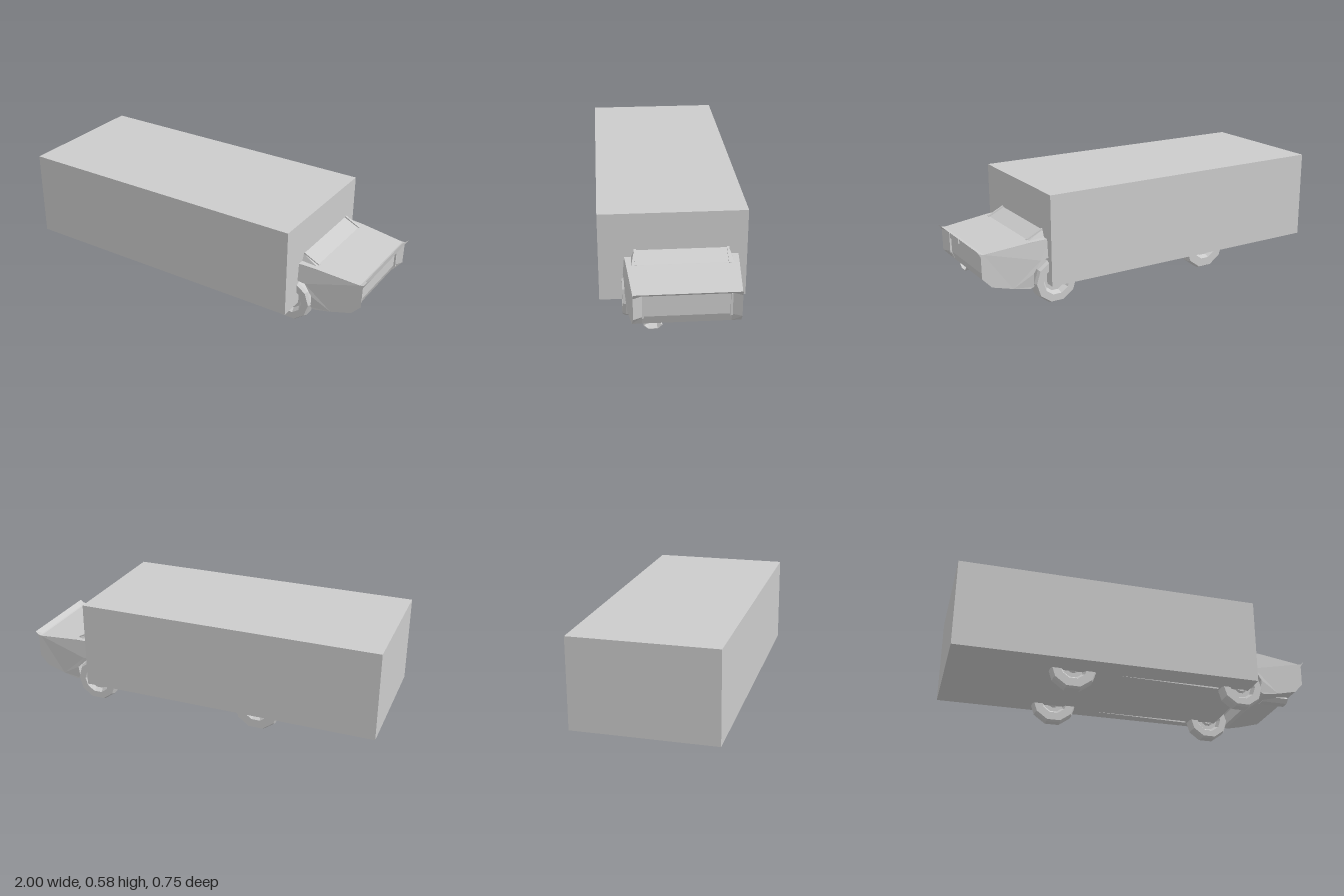
import * as THREE from 'three';

const MID = -0.0425; // centre line of the cab and wheels
const material = new THREE.MeshStandardMaterial({ color: 0xcccccc, flatShading: true, side: THREE.DoubleSide });

function add(group, name, geometry, x = 0, y = 0, z = 0) {
  const mesh = new THREE.Mesh(geometry, material);
  mesh.name = name;
  mesh.position.set(x, y, z);
  group.add(mesh);
  return mesh;
}

// Extrudes an outline in the xy plane between two z values
function slab(points, z0, z1) {
  const shape = new THREE.Shape(points.map(([x, y]) => new THREE.Vector2(x, y)));
  const g = new THREE.ExtrudeGeometry(shape, { depth: z1 - z0, bevelEnabled: false });
  return g.translate(0, 0, z0);
}

// Moves each vertex of a geometry by a rule
function warp(g, rule) {
  const p = g.attributes.position, v = new THREE.Vector3();
  for (let i = 0; i < p.count; i++) {
    rule(v.fromBufferAttribute(p, i));
    p.setXYZ(i, v.x, v.y, v.z);
  }
  g.computeVertexNormals();
  return g;
}

// Cab plan: narrows to the nose, with a slight flare around the wheel arch
function taper(v) {
  const flare = v.x < 0.73 && v.y > 0.15 && v.y < 0.26 ? 0.008 : 0;
  const half = 0.257 + (1 - v.x) * 0.08 + flare;
  const inner = Math.abs(v.z) < 0.95;
  v.z = MID + v.z * half;
  if (inner && v.x > 0.96 && v.y < 0.305) v.x -= 0.025;
}

function wheel(radius, width) {
  const h = width / 2;
  const profile = [[0, -h * 0.4], [0.06, -h * 0.4], [0.075, -h], [radius - 0.008, -h], [radius, -h * 0.6],
    [radius, h * 0.6], [radius - 0.008, h], [0.075, h], [0.06, h * 0.4], [0.035, h * 0.4], [0.025, h * 0.6], [0, h * 0.6]];
  const g = new THREE.LatheGeometry(profile.map(([r, y]) => new THREE.Vector2(r, y)), 10);
  return g.rotateY(Math.PI / 10).rotateX(Math.PI / 2);
}

export function createModel() {
  const model = new THREE.Group();
  model.name = 'boxTruck';

  // Cargo box
  add(model, 'cargoBox', new THREE.BoxGeometry(1.635, 0.475, 0.746), -0.1825, 0.3375, 0);

  // Cab: side walls framing a recessed nose
  const cab = new THREE.Group();
  cab.name = 'cab';
  model.add(cab);
  const rear = [[0.73, 0.09], [0.71, 0.1], [0.715, 0.17], [0.675, 0.235], [0.62, 0.245], [0.62, 0.34], [0.72, 0.335]];
  const lip = [[0.965, 0.31], [0.985, 0.315], [1, 0.33], [0.98, 0.3]];
  const bumper = [[0.978, 0.185], [0.93, 0.135], [0.82, 0.107]];
  const sideOutline = [...rear, ...lip, ...bumper];
  const coreOutline = [...rear, ...lip, [0.95, 0.3], [0.95, 0.185], ...bumper.slice(1)];
  add(cab, 'noseAndHood', warp(slab(coreOutline, -0.82, 0.82), taper));
  add(cab, 'leftSide', warp(slab(sideOutline, 0.82, 1), taper));
  add(cab, 'rightSide', warp(slab(sideOutline, -1, -0.82), taper));

  // Windshield, narrower at its top edge
  const glass = slab([[0.62, 0.33], [0.725, 0.332], [0.635, 0.375], [0.62, 0.375]], -1, 1);
  add(cab, 'windshield', warp(glass, (v) => { v.z = MID + v.z * (v.y > 0.35 ? 0.237 : 0.255); }));
  for (const s of [-1, 1]) {
    const pillar = slab([[0.625, 0.34], [0.725, 0.334], [0.725, 0.338], [0.64, 0.381], [0.625, 0.381]], -0.006, 0.006);
    add(cab, 'pillar', pillar, 0, 0, MID + s * 0.232);
  }

  // Nose details: grille plate, edge strips and hollow hexagonal pipe
  add(cab, 'grillePlate', new THREE.BoxGeometry(0.008, 0.04, 0.115), 0.952, 0.28, 0.1075);
  for (const s of [-1, 1])
    add(cab, 'grilleEdge', new THREE.BoxGeometry(0.014, 0.12, 0.01), 0.953, 0.24, MID + s * 0.21);
  const hex = (k) => [[-1, 0], [-0.5, -1], [0.5, -1], [1, 0], [0.5, 1], [-0.5, 1]]
    .map(([a, b]) => new THREE.Vector2(a * (0.045 - k), b * (0.021 - k)));
  const ring = new THREE.Shape(hex(0));
  ring.holes.push(new THREE.Path(hex(0.003)));
  const pipe = new THREE.ExtrudeGeometry(ring, { depth: 0.15, bevelEnabled: false }).rotateY(Math.PI / 2);
  add(cab, 'hexPipe', pipe, 0.76, 0.111, 0.118);

  // Wheels and sills
  for (const s of [-1, 1]) {
    add(model, 'frontWheel', wheel(0.121, 0.083), 0.592, 0.115, MID + s * 0.2585);
    add(model, 'rearWheel', wheel(0.13, 0.072), -0.35, 0.1237, MID + s * 0.249);
    const sill = slab([[-0.08, 0.105], [-0.08, 0.099], [0.46, 0.091], [0.46, 0.105]], -0.01, 0.01);
    add(model, 'sill', sill, 0, 0, MID + s * 0.265);
  }
  return model;
}
